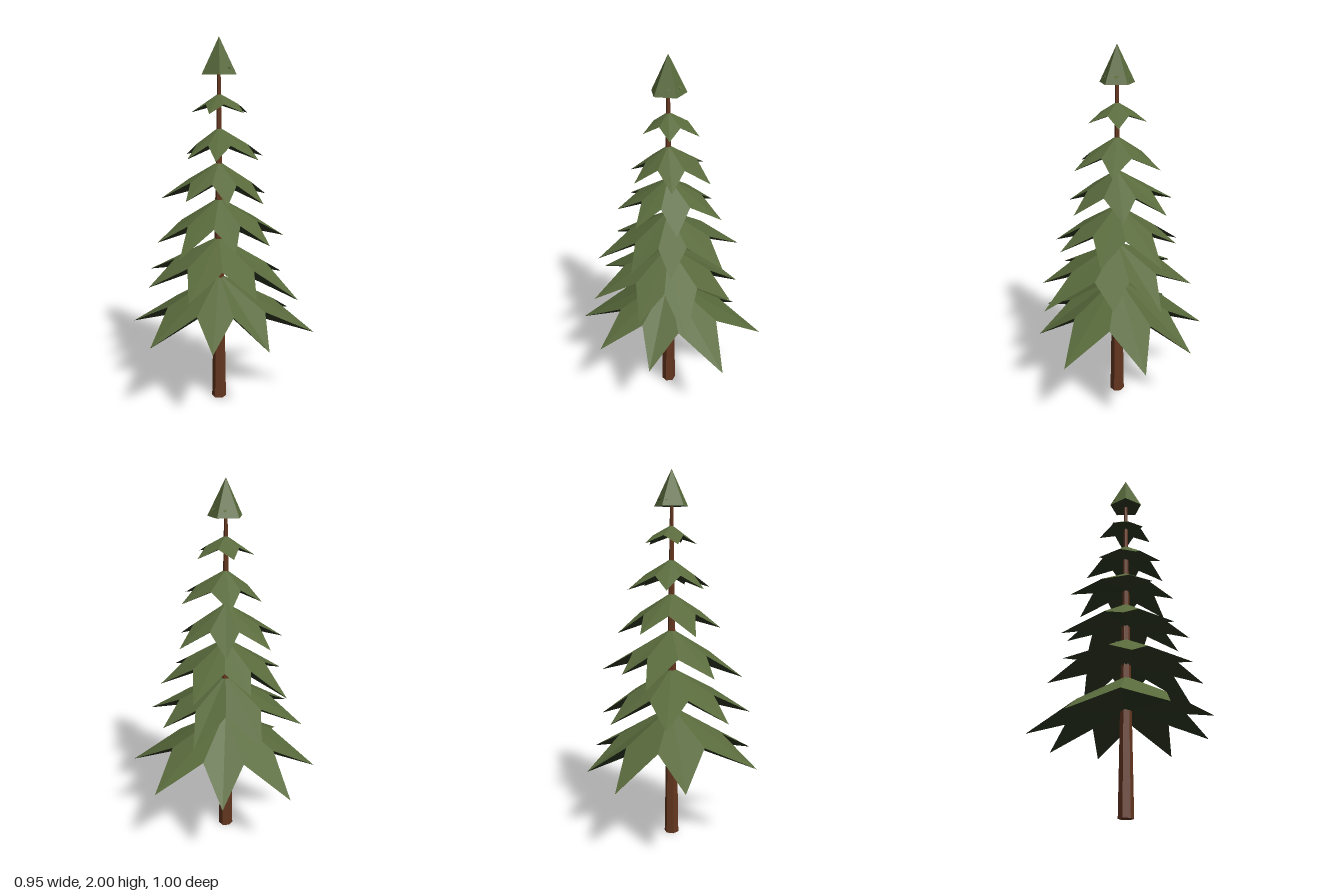
import * as THREE from 'three';

function makeMaterial(name, color) {
  const material = new THREE.MeshStandardMaterial({ color, flatShading: true });
  material.name = name;
  return material;
}
const green = makeMaterial('needle green', 0x596a3c);
const darkGreen = makeMaterial('underside dark green', 0x2f3925);
const brown = makeMaterial('bark brown', 0x653720);

// Trunk axis, slightly off the middle
const CX = -0.004, CZ = 0.008;

// Each tier: apex height, then branch tips as [angle in degrees from +x towards +z, radius, height]
const TIERS = [
  { apex: 0.735, tips: [[-25, 0.523, 0.42], [21.7, 0.447, 0.425], [60.5, 0.477, 0.455], [101.5, 0.506, 0.44],
    [158, 0.512, 0.415], [199.5, 0.509, 0.385], [244, 0.467, 0.385], [287.2, 0.523, 0.42]] },
  { apex: 0.95, tips: [[-2.4, 0.475, 0.665], [30, 0.417, 0.71], [77, 0.441, 0.7], [121, 0.419, 0.71],
    [169, 0.438, 0.71], [215, 0.413, 0.7], [267, 0.39, 0.675], [306, 0.37, 0.71]] },
  { apex: 1.165, tips: [[7, 0.337, 0.95], [43, 0.345, 0.94], [87, 0.395, 0.91], [127, 0.353, 0.94],
    [185, 0.387, 0.9], [218, 0.32, 0.95], [267, 0.386, 0.925], [317, 0.354, 0.94]] },
  { apex: 1.36, tips: [[0, 0.27, 1.155], [48, 0.27, 1.17], [95, 0.28, 1.18], [143, 0.32, 1.16],
    [195, 0.318, 1.17], [241, 0.29, 1.15], [297, 0.286, 1.16]] },
  { apex: 1.54, tips: [[5, 0.25, 1.385], [62, 0.22, 1.385], [110, 0.21, 1.385], [172, 0.205, 1.385],
    [235, 0.24, 1.38], [309, 0.24, 1.38]] },
  { apex: 1.715, tips: [[8, 0.16, 1.62], [80, 0.14, 1.615], [152, 0.155, 1.615], [225, 0.155, 1.62],
    [301, 0.16, 1.61]] },
  // Small tier whose tips just break through the crown
  { apex: 1.885, tips: [[12, 0.078, 1.838], [55, 0.088, 1.838], [183, 0.084, 1.838], [241, 0.074, 1.838],
    [308, 0.076, 1.838]] },
];

// Star-shaped branch tier: alternating tips and notches, fanned to an upper and a lower centre
function branchTier({ apex, tips }) {
  const rim = [];
  const point = (deg, r, y) => {
    const a = THREE.MathUtils.degToRad(deg);
    return [Math.cos(a) * r, y, Math.sin(a) * r];
  };
  tips.forEach(([deg, r, y], i) => {
    const last = i === tips.length - 1;
    const [deg2, r2, y2] = tips[(i + 1) % tips.length];
    rim.push(point(deg, r, y));
    const notchY = apex - 0.55 * (apex - (y + y2) / 2);
    rim.push(point((deg + deg2 + (last ? 360 : 0)) / 2, 0.59 * (r + r2) / 2, notchY));
  });
  const meanTip = tips.reduce((sum, t) => sum + t[2], 0) / tips.length;
  const top = [CX, apex, CZ];
  const under = [CX, apex - 0.6 * (apex - meanTip), CZ];
  const upper = [], lower = [];
  rim.forEach((p, i) => {
    const q = rim[(i + 1) % rim.length];
    upper.push(...top, ...q, ...p);
    lower.push(...under, ...p, ...q);
  });
  const geometry = new THREE.BufferGeometry();
  geometry.setAttribute('position', new THREE.Float32BufferAttribute([...upper, ...lower], 3));
  geometry.addGroup(0, rim.length * 3, 0);
  geometry.addGroup(rim.length * 3, rim.length * 3, 1);
  geometry.computeVertexNormals();
  return geometry;
}

export function createModel() {
  const tree = new THREE.Group();
  tree.name = 'conifer';

  function add(name, geometry, material) {
    const mesh = new THREE.Mesh(geometry, material);
    mesh.name = name;
    tree.add(mesh);
    return mesh;
  }

  // Tapered six-sided trunk
  add('trunk', new THREE.CylinderGeometry(0.008, 0.04, 1.88, 6), brown).position.set(CX, 0.94, CZ);

  // Branch tiers from the bottom up, dark underneath
  TIERS.forEach((tier, i) => add(`branchTier${i + 1}`, branchTier(tier), [green, darkGreen]));

  // Five-sided crown, one corner to the back, with a dark base
  const crown = add('crown', new THREE.ConeGeometry(0.095, 0.19, 5), [green, green, darkGreen]);
  crown.rotation.y = Math.PI;
  crown.position.set(CX, 1.905, CZ);

  return tree;
}
